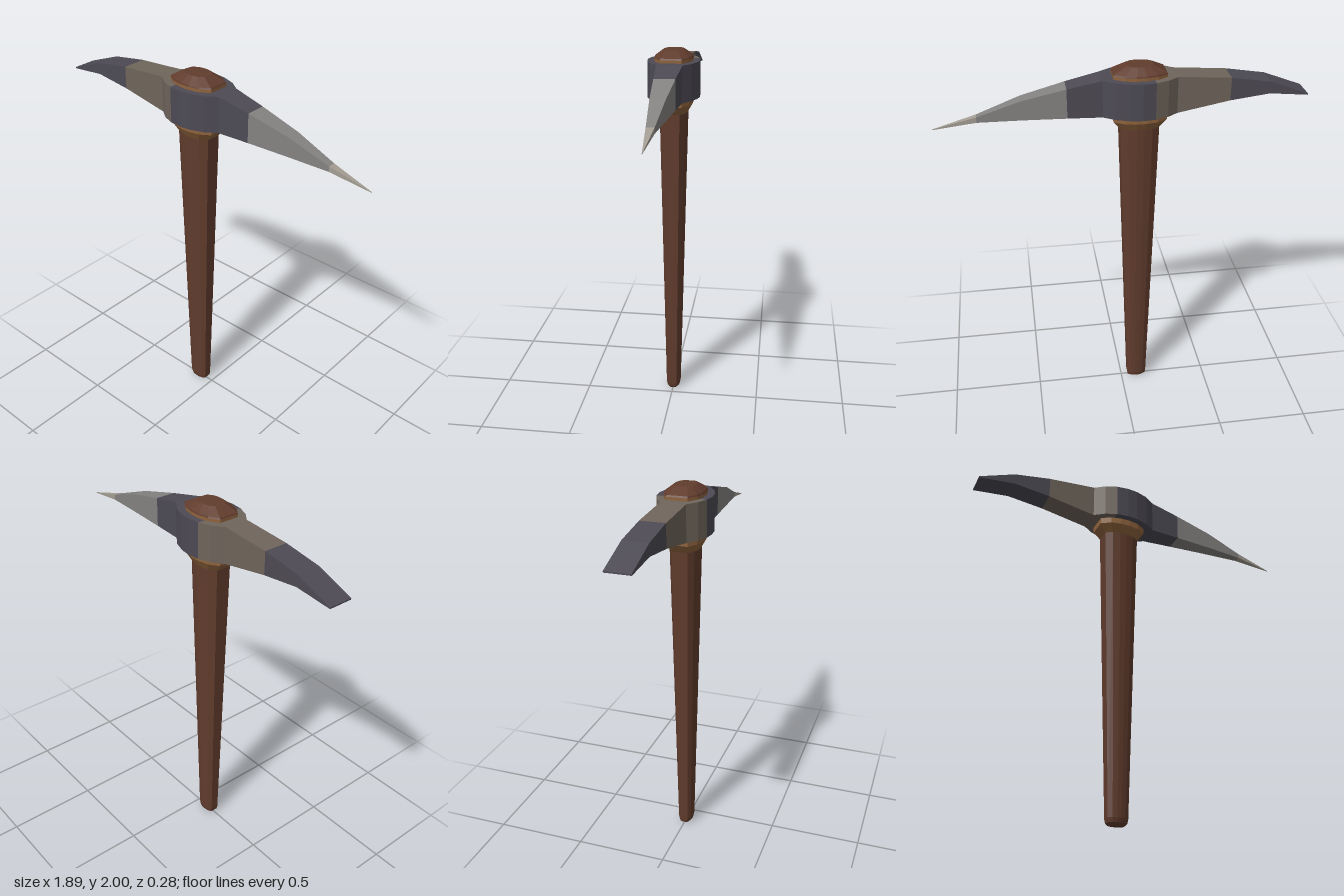
import * as THREE from 'three';

const paint = (name, color) => {
  const m = new THREE.MeshStandardMaterial({ color });
  m.name = name;
  m.flatShading = true;
  return m;
};

// Joins cross-sections (equal point counts) into a closed faceted solid.
function loft(rings) {
  const pos = [];
  const tri = (a, b, c) => pos.push(...a, ...b, ...c);
  for (let r = 0; r < rings.length - 1; r++) {
    const a = rings[r], b = rings[r + 1], n = a.length;
    for (let i = 0; i < n; i++) {
      const j = (i + 1) % n;
      tri(a[i], a[j], b[j]);
      tri(a[i], b[j], b[i]);
    }
  }
  const first = rings[0], last = rings[rings.length - 1];
  for (let i = 1; i < first.length - 1; i++) {
    tri(first[0], first[i + 1], first[i]);
    tri(last[0], last[i], last[i + 1]);
  }
  const g = new THREE.BufferGeometry();
  g.setAttribute('position', new THREE.Float32BufferAttribute(pos, 3));
  g.computeVertexNormals();
  return g;
}

export function createModel() {
  const group = new THREE.Group();
  const wood = paint('darkWood', 0x613c2d);
  const tan = paint('cutWood', 0x8f633d);
  const steel = paint('darkSteel', 0x4d4a54);
  const worn = paint('wornSteel', 0x6f655b);
  const light = paint('lightSteel', 0x858381);
  const edge = paint('tipSteel', 0xa39d93);

  const add = (name, rings, material) => {
    const mesh = new THREE.Mesh(loft(rings), material);
    mesh.name = name;
    group.add(mesh);
  };

  // Handle: flat-ended oval sections stacked in y, as [y, half x, half z]
  const oval = [[1, 0.55], [0.62, 0.88], [0.2, 1], [-0.2, 1], [-0.62, 0.88], [-1, 0.55],
    [-1, -0.55], [-0.62, -0.88], [-0.2, -1], [0.2, -1], [0.62, -0.88], [1, -0.55]].reverse();
  const wooden = (name, levels, material) => add(name, levels.map(([y, hx, hz]) =>
    oval.map(([x, z]) => [-0.09 + x * hx, y, z * hz])), material);
  wooden('handleShaft', [[0, 0.04, 0.025], [0.012, 0.052, 0.036], [0.035, 0.056, 0.041],
    [1.675, 0.1, 0.075]], wood);
  wooden('handleCollar', [[1.675, 0.1, 0.075], [1.72, 0.135, 0.1], [1.96, 0.135, 0.1]], tan);
  wooden('handleCap', [[1.96, 0.135, 0.1], [1.968, 0.13, 0.097], [2, 0.068, 0.055]], wood);

  // Head: rectangular sections along x, as [x, bottom, top, half z]
  const metal = (name, stations, material) => add(name, stations.map(([x, b, t, h]) =>
    [[x, b, h], [x, b, -h], [x, t, -h], [x, t, h]]), material);
  const bladeJoin = [-0.545, 1.805, 1.925, 0.065];
  const eyeSplit = [-0.155, 1.755, 1.945, 0.132];
  const pickJoin = [0.275, 1.755, 1.908, 0.054];
  const tipJoin = [0.72, 1.747, 1.775, 0.02];
  metal('adzeBlade', [[-0.95, 1.81, 1.817, 0.065], [-0.75, 1.83, 1.892, 0.065], bladeJoin], steel);
  metal('adzeNeck', [bladeJoin, [-0.275, 1.755, 1.945, 0.066], [-0.22, 1.755, 1.945, 0.107],
    eyeSplit], worn);
  metal('headEye', [eyeSplit, [-0.09, 1.755, 1.945, 0.139], [-0.03, 1.755, 1.945, 0.132],
    [0.042, 1.755, 1.945, 0.107], [0.1, 1.755, 1.945, 0.066], pickJoin], steel);
  metal('pickSpike', [pickJoin, [0.5, 1.753, 1.853, 0.038], tipJoin], light);
  metal('pickTip', [tipJoin, [0.94, 1.714, 1.717, 0.001]], edge);

  return group;
}
